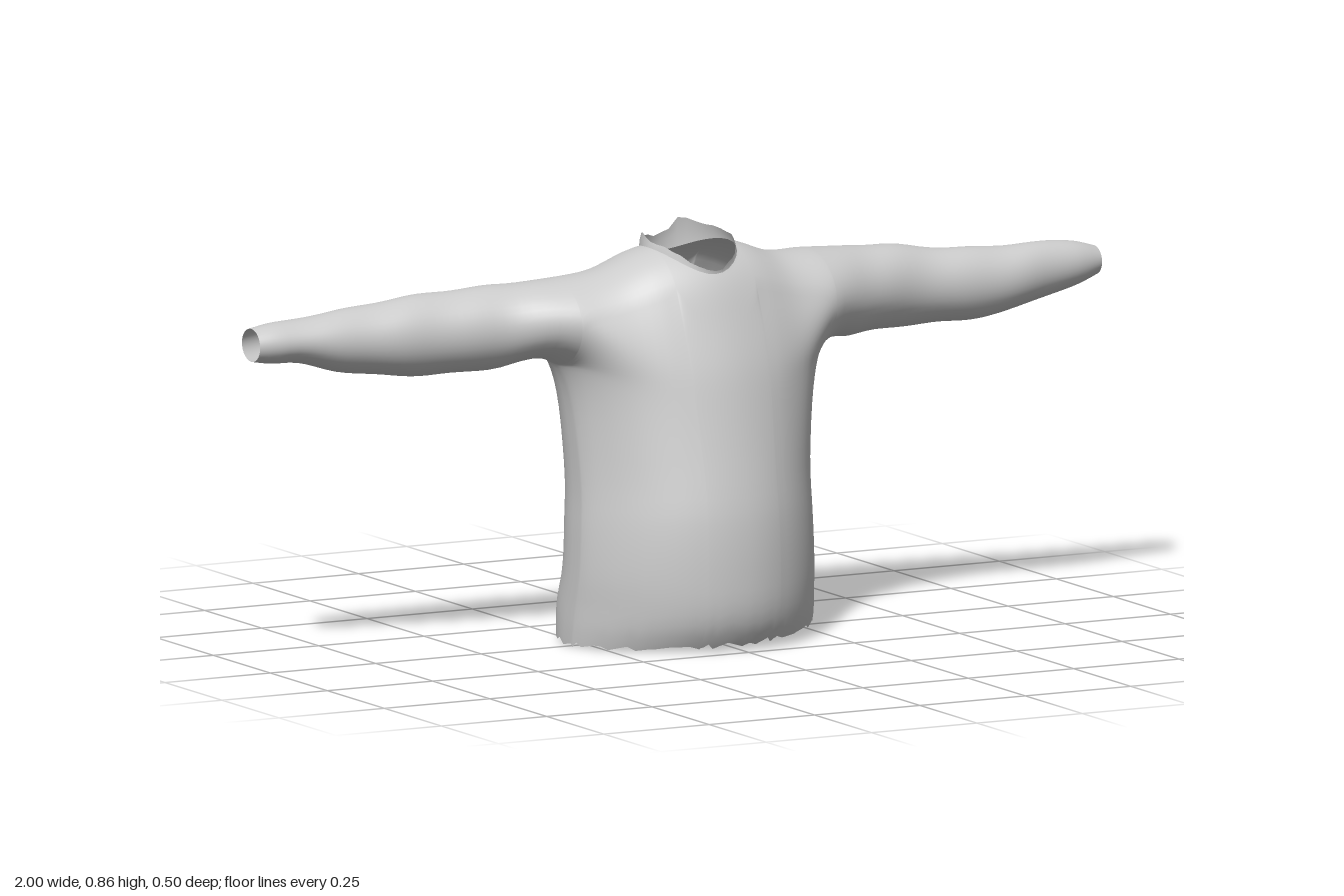
import * as THREE from 'three';
import { mergeVertices } from 'three/addons/utils/BufferGeometryUtils.js';

const ARMPIT = 0.3;   // |x| where the body section closes into a sleeve
const NECK = 0.095;   // half width of the neck opening
const LOWER = 24, UPPER = 20; // rows from hem to chest, chest to shoulder line

// Smooth curve through rows of [key, values...]
function curve(rows) {
  const size = rows[0].length - 1;
  const c = new THREE.CubicInterpolant(
    new Float32Array(rows.map(r => r[0])), new Float32Array(rows.flatMap(r => r.slice(1))), size);
  return t => Array.from(c.evaluate(t));
}

// Sections across the garment: x, centre y, top y, back z, front z
const section = curve([
  [-1, 0.70, 0.735, -0.125, -0.045], [-0.96, 0.70, 0.741, -0.137, -0.035],
  [-0.9, 0.70, 0.745, -0.145, -0.03], [-0.8, 0.692, 0.755, -0.155, -0.02],
  [-0.6, 0.69, 0.775, -0.165, 0], [-0.45, 0.695, 0.782, -0.165, 0.02],
  [-0.3, 0.70, 0.79, -0.172, 0.075], [-0.2, 0.635, 0.805, -0.188, 0.13],
  [-0.1, 0.605, 0.843, -0.203, 0.172], [0, 0.60, 0.855, -0.205, 0.188],
  [0.1, 0.605, 0.845, -0.203, 0.172], [0.2, 0.635, 0.812, -0.188, 0.13],
  [0.3, 0.705, 0.808, -0.175, 0.085], [0.4, 0.707, 0.80, -0.165, 0.045],
  [0.5, 0.707, 0.795, -0.16, 0.012], [0.6, 0.70, 0.78, -0.15, 0],
  [0.75, 0.698, 0.77, -0.14, -0.005], [0.85, 0.71, 0.77, -0.13, -0.02],
  [0.95, 0.718, 0.765, -0.125, -0.035], [1, 0.72, 0.75, -0.12, -0.05],
]);

// Body below the arms: y, right side, left side, front z, back z
const body = curve([
  [0.02, 0.292, 0.268, 0.215, -0.20], [0.06, 0.292, 0.268, 0.24, -0.21],
  [0.1, 0.29, 0.265, 0.252, -0.213], [0.17, 0.287, 0.26, 0.256, -0.19],
  [0.3, 0.28, 0.256, 0.25, -0.19], [0.4, 0.27, 0.255, 0.232, -0.197],
  [0.5, 0.257, 0.257, 0.209, -0.20], [0.6, 0.27, 0.27, 0.188, -0.205],
]);

const ragged = n => { const s = Math.sin(n * 127.1) * 43758.5; return s - Math.floor(s); };

// Point on the upper body or sleeve at angle a (0 under, PI/2 front, PI top)
function upperPoint(x, a) {
  const [cy, top, zb, zf] = section(x);
  const chest = Math.max(0, 1 - (x / ARMPIT) ** 2);
  const fold = 1 + 0.018 * THREE.MathUtils.smoothstep(Math.abs(x), 0.3, 0.45)
    * Math.sin(38 * x + 2 * Math.sin(a));
  const c = Math.cos(a), back = a > Math.PI;
  // the upper back is full, the chest slopes inward
  const rise = -Math.sign(c) * Math.pow(Math.abs(c), back && c < 0 ? 1 - 0.4 * chest : 1);
  const slope = back ? 1 : 1 - 0.13 * chest * Math.sin(Math.PI * Math.max(0, rise));
  return new THREE.Vector3(x, cy + (top - cy) * rise * fold,
    (zf + zb) / 2 + (zf - zb) / 2 * Math.sin(a) * fold * slope);
}

// Angles where a station starts (under the arm) and meets the neckline
function angles(x, front) {
  const start = Math.acos(Math.min(1, (x / ARMPIT) ** 4));
  const e = Math.sqrt(Math.max(0, 1 - (x / NECK) ** 2));
  return front ? [start, Math.PI - Math.asin(0.63 * e)]
    : [2 * Math.PI - start, Math.PI + Math.asin(0.68 * e)];
}

// One column from the hem (or underarm) up to the shoulder line
function column(x, front) {
  const [a0, a1] = angles(x, front);
  const q = x / ARMPIT, round = Math.max(0, 1 - q * q);
  const points = [];
  if (Math.abs(x) <= ARMPIT) {
    const end = upperPoint(x, a0);
    const hem = 0.028 + 0.01 * q + (front ? 0 : 0.045 * round)
      + 0.012 * ragged(Math.round(x * 1e4));
    for (let j = 0; j < LOWER; j++) {
      const v = j / LOWER, y = THREE.MathUtils.lerp(hem, end.y, v);
      const [right, left, zf, zb] = body(y);
      const mid = (zf + zb) / 2, half = (zf - zb) / 2;
      const p = new THREE.Vector3(q * (x < 0 ? right : left), y,
        front ? mid + half * Math.pow(round, 0.68) : mid - half * Math.pow(round, 0.36));
      points.push(p.lerp(end, THREE.MathUtils.smoothstep(v, 0.5, 1)));
    }
  }
  for (let j = 0; j <= UPPER; j++) points.push(upperPoint(x, a0 + (a1 - a0) * j / UPPER));

  // Relax the join between body and shoulders
  if (points.length > UPPER + 1) {
    for (let pass = 0; pass < 16; pass++) {
      for (let j = LOWER - 9; j < LOWER + 10; j++) {
        const mean = points[j - 1].clone().add(points[j + 1]).multiplyScalar(0.5);
        points[j].lerp(mean, 0.6 * round);
      }
    }
  }
  return points;
}

// Triangles between neighbouring columns, matched from the top row down
function loft(columns, flip, out) {
  for (let i = 0; i < columns.length - 1; i++) {
    const a = columns[i], b = columns[i + 1], n = Math.min(a.length, b.length);
    const ao = a.length - n, bo = b.length - n;
    for (let j = 0; j < n - 1; j++) {
      const [p, r, s, t] = [a[ao + j], b[bo + j], b[bo + j + 1], a[ao + j + 1]];
      const tris = flip ? [p, s, r, p, t, s] : [p, r, s, p, s, t];
      tris.forEach(v => out.push(v.x, v.y, v.z));
    }
  }
}

function surface(coords) {
  const g = new THREE.BufferGeometry();
  g.setAttribute('position', new THREE.Float32BufferAttribute(coords, 3));
  const merged = mergeVertices(g, 1e-5);
  merged.computeVertexNormals();
  return merged;
}

export function createModel() {
  const group = new THREE.Group();
  const cloth = new THREE.MeshStandardMaterial({ color: 0xcccccc, side: THREE.DoubleSide });
  const add = (name, geometry) => {
    const mesh = new THREE.Mesh(geometry, cloth);
    mesh.name = name;
    group.add(mesh);
    return mesh;
  };

  // Stations along x, denser at the neck edges and body sides
  const half = [];
  for (let i = 1; i <= 8; i++) half.push(NECK * Math.sin(Math.PI / 2 * i / 8));
  const edge = Math.asin(NECK / ARMPIT);
  for (let i = 1; i <= 16; i++) half.push(ARMPIT * Math.sin(edge + (Math.PI / 2 - edge) * i / 16));
  half[half.length - 1] = ARMPIT;
  for (let i = 1; i <= 32; i++) half.push(ARMPIT + (1 - ARMPIT) * i / 32);
  const stations = [...half.map(x => -x).reverse(), 0, ...half];

  // Whole garment as one smooth skin
  const coords = [];
  loft(stations.map(x => column(x, true)), false, coords);
  loft(stations.map(x => column(x, false)), true, coords);
  const skin = surface(coords);

  // Split the skin into torso and sleeves, sharing its normals
  const parts = { torso: [], leftSleeve: [], rightSleeve: [] };
  const pos = skin.attributes.position, index = skin.index.array;
  for (let i = 0; i < index.length; i += 3) {
    const tri = [index[i], index[i + 1], index[i + 2]];
    const x = tri.reduce((sum, v) => sum + pos.getX(v), 0) / 3;
    parts[x > ARMPIT ? 'leftSleeve' : x < -ARMPIT ? 'rightSleeve' : 'torso'].push(...tri);
  }
  for (const [name, tris] of Object.entries(parts)) {
    const g = new THREE.BufferGeometry();
    g.setAttribute('position', pos);
    g.setAttribute('normal', skin.attributes.normal);
    g.setIndex(tris);
    add(name, g);
  }

  // Ragged collar standing on the neckline, highest at the back
  const neck = stations.filter(x => Math.abs(x) <= NECK + 1e-6);
  const rim = [...neck.map(x => upperPoint(x, angles(x, true)[1])),
    ...neck.slice(0, -1).reverse().map(x => upperPoint(x, angles(x, false)[1]))];
  const collar = rim.map((p, i) => {
    const back = THREE.MathUtils.smoothstep(-p.z, -0.06, 0.13);
    const h = 0.004 + 0.022 * back + 0.01 * ragged(i % (rim.length - 1))
      + 0.035 * back * Math.exp(-(((p.x - 0.04) / 0.025) ** 2));
    return [p, new THREE.Vector3(p.x * 0.98, p.y + h * 0.5, p.z),
      new THREE.Vector3(p.x * 0.95, p.y + h, p.z + 0.1 * h)];
  });
  const collarCoords = [];
  loft(collar, false, collarCoords);
  add('collar', surface(collarCoords));

  // Crumpled knot of cloth on the upper back
  const knot = new THREE.IcosahedronGeometry(1, 3);
  const kp = knot.attributes.position, v = new THREE.Vector3();
  for (let i = 0; i < kp.count; i++) {
    v.fromBufferAttribute(kp, i);
    v.multiplyScalar(0.045 + 0.008 * Math.sin(7 * v.x + 3 * v.y) * Math.cos(6 * v.y - 4 * v.z));
    kp.setXYZ(i, v.x, v.y, v.z);
  }
  knot.deleteAttribute('normal');
  knot.deleteAttribute('uv');
  const knotShape = mergeVertices(knot, 1e-5);
  knotShape.computeVertexNormals();
  add('backKnot', knotShape).position.set(0.015, 0.73, -0.2);

  return group;
}
